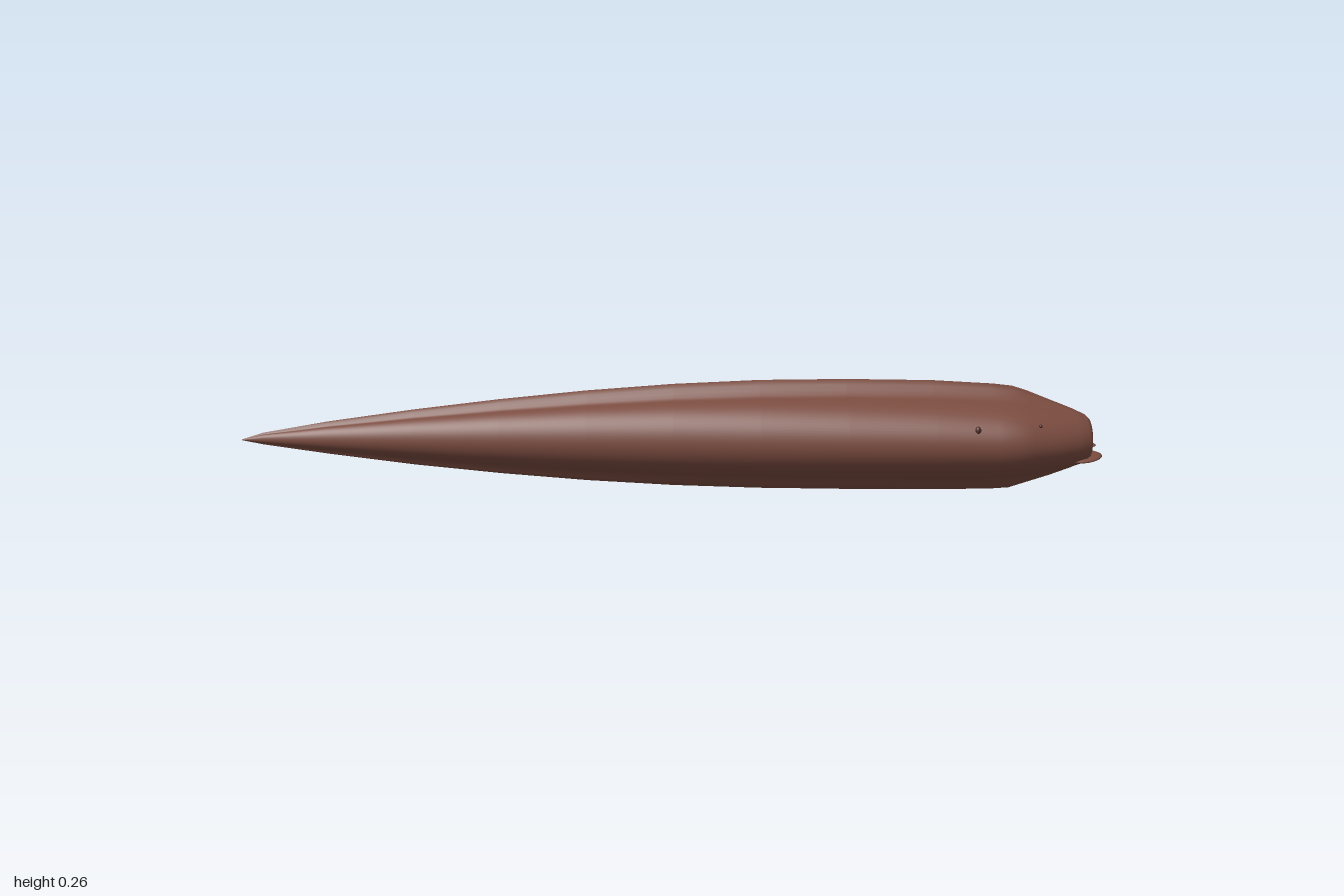
import * as THREE from 'three';

// Body stations: x, top y, bottom y, half width, ridge strength
const STATIONS = [
  [-1, 0.121, 0.119, 0.001, 1], [-0.95, 0.137, 0.109, 0.008, 1],
  [-0.8, 0.163, 0.087, 0.024, 1], [-0.6, 0.191, 0.061, 0.044, 1],
  [-0.4, 0.215, 0.04, 0.062, 1], [-0.2, 0.235, 0.023, 0.079, 1],
  [0, 0.25, 0.011, 0.094, 1], [0.2, 0.259, 0.004, 0.109, 1],
  [0.4, 0.261, 0.001, 0.121, 1], [0.6, 0.258, 0, 0.129, 1],
  [0.74, 0.25, 0.001, 0.133, 1], [0.785, 0.245, 0.004, 0.132, 1],
  [0.82, 0.234, 0.015, 0.124, 0.9], [0.88, 0.21, 0.034, 0.105, 0.6],
  [0.93, 0.19, 0.052, 0.084, 0.3], [0.957, 0.177, 0.065, 0.068, 0],
  [0.966, 0.168, 0.073, 0.057, 0], [0.969, 0.15, 0.09, 0.035, 0],
  [0.97, 0.121, 0.119, 0.001, 0],
];

// Oval section pinched into a fin-like ridge along the back and belly
function bodyGeometry(sides = 96) {
  const positions = [], indices = [];
  STATIONS.forEach(([x, top, bottom, width, ridge], i) => {
    for (let j = 0; j < sides; j++) {
      const a = (j / sides) * Math.PI * 2;
      const c = Math.cos(a), s = Math.sin(a);
      const cusp = Math.max(0, 1 - Math.abs(c) / 0.27) ** 1.6;
      const fullness = 1 - 0.25 * ridge * (1 - cusp);
      const height = s > 0 ? top - 0.12 : 0.12 - bottom;
      positions.push(x, 0.12 + s * height * fullness, c * width);
      if (i > 0) {
        const k = (j + 1) % sides, p = (i - 1) * sides, q = i * sides;
        indices.push(p + j, q + j, p + k, q + j, q + k, p + k);
      }
    }
  });
  const geometry = new THREE.BufferGeometry();
  geometry.setAttribute('position', new THREE.Float32BufferAttribute(positions, 3));
  geometry.setIndex(indices);
  geometry.computeVertexNormals();
  return geometry;
}

export function createModel() {
  const group = new THREE.Group();
  const skin = new THREE.MeshStandardMaterial({ name: 'brown skin', color: 0x7b4c40, side: THREE.DoubleSide });
  const dark = new THREE.MeshStandardMaterial({ name: 'dark brown', color: 0x4a2a24 });

  const body = new THREE.Mesh(bodyGeometry(), skin);
  body.name = 'body';
  group.add(body);

  const ball = new THREE.SphereGeometry(1, 32, 16);
  function blob(name, material, position, size) {
    const mesh = new THREE.Mesh(ball, material);
    mesh.name = name;
    mesh.position.set(...position);
    mesh.scale.set(...size);
    group.add(mesh);
    return mesh;
  }

  // Mouth: thin upper lip and a protruding, downturned lower lip
  blob('upperLip', skin, [0.955, 0.106, 0], [0.03, 0.004, 0.036]);
  const lip = ball.clone();
  const p = lip.attributes.position;
  for (let i = 0; i < p.count; i++) p.setY(i, p.getY(i) - 0.7 * p.getZ(i) ** 2);
  lip.computeVertexNormals();
  const lowerLip = blob('lowerLip', skin, [0.94, 0.082, 0], [0.06, 0.01, 0.062]);
  lowerLip.geometry = lip;

  // Small eyes and nostrils on both sides of the head
  for (const side of [-1, 1]) {
    blob(side > 0 ? 'frontEye' : 'backEye', dark, [0.69, 0.16, side * 0.118], [0.007, 0.01, 0.007]);
    blob(side > 0 ? 'frontNostril' : 'backNostril', dark, [0.835, 0.167, side * 0.1], [0.004, 0.004, 0.005]);
  }
  return group;
}
